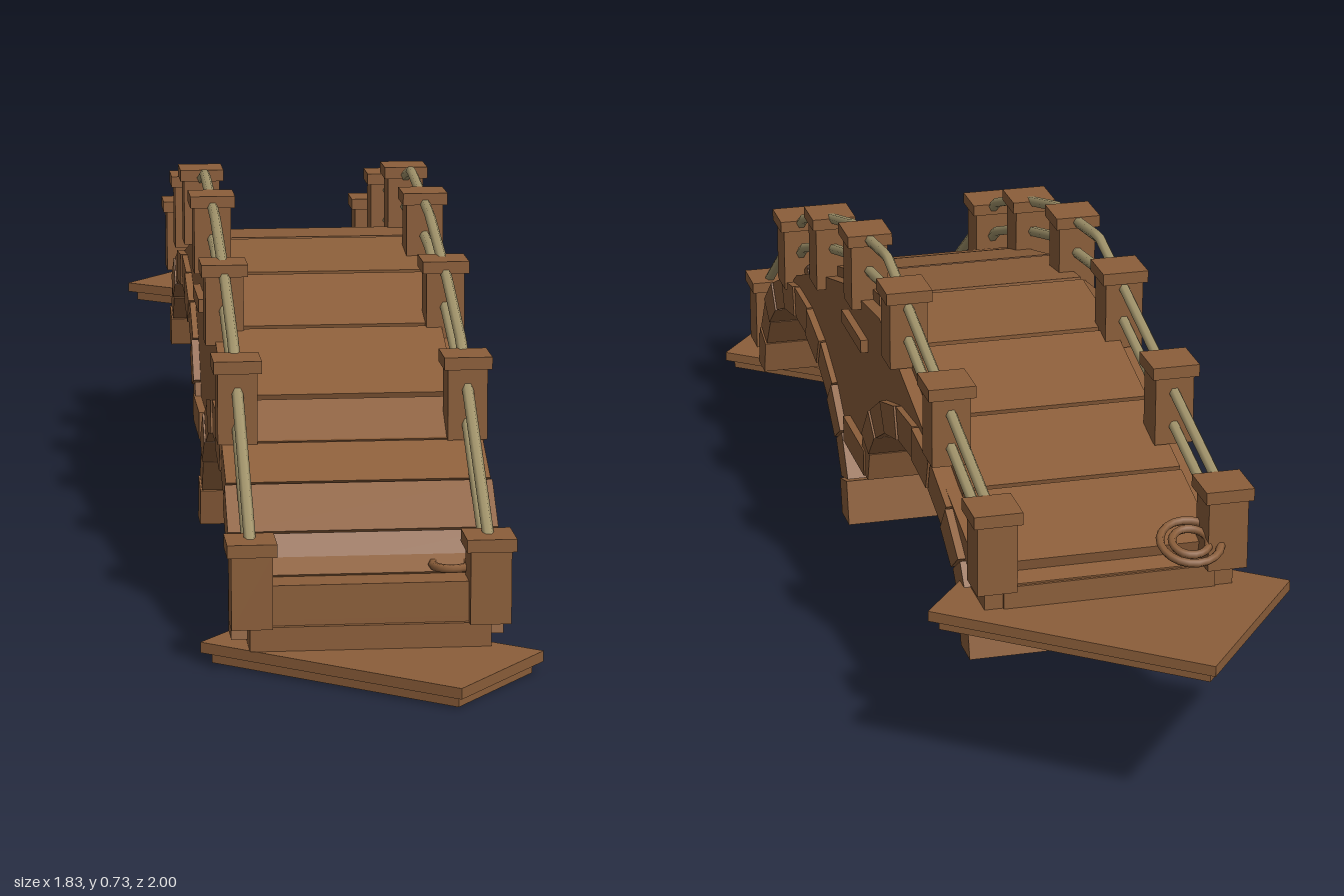
import * as THREE from 'three';

export function createModel() {
  const model = new THREE.Group();
  const wood = new THREE.MeshStandardMaterial({ color: 0x8b5e3a });
  wood.name = 'brown wood';
  const railMat = new THREE.MeshStandardMaterial({ color: 0xa3956c });
  railMat.name = 'pale olive rail';

  // The span runs along local x and is turned diagonally on the ground
  const span = new THREE.Group();
  span.name = 'span';
  span.rotation.y = -0.904;
  model.add(span);

  const add = (parent, geo, mat, name, x = 0, y = 0, z = 0) => {
    const m = new THREE.Mesh(geo, mat);
    m.name = name;
    m.position.set(x, y, z);
    parent.add(m);
    return m;
  };
  const box = (parent, name, w, h, d, x, y, z) =>
    add(parent, new THREE.BoxGeometry(w, h, d), wood, name, x, y, z);
  const slab = (points, halfWidth, name) => {
    const geo = new THREE.ExtrudeGeometry(new THREE.Shape(points),
      { depth: halfWidth * 2, bevelEnabled: false });
    geo.translate(0, 0, -halfWidth);
    return add(span, geo, wood, name);
  };
  const V2 = (x, y) => new THREE.Vector2(x, y);

  // Kinked line of the handrail; the deck and body top follow it lower down
  const railLine = [[-1.02, 0.53], [-0.6, 0.635], [-0.2, 0.735], [0.12, 0.692],
    [0.4, 0.612], [0.61, 0.532], [1.02, 0.24]];
  const deckDrop = 0.125;
  const deckY = (x) => {
    let i = 0;
    while (i < railLine.length - 2 && x > railLine[i + 1][0]) i++;
    const [x0, y0] = railLine[i], [x1, y1] = railLine[i + 1];
    return y0 + (y1 - y0) * (x - x0) / (x1 - x0) - deckDrop;
  };

  // Arches: elliptical rings of wedge stones
  const arches = [
    { x: -0.525, y: 0.222, a: 0.457, b: 0.277, n: 10 },
    { x: 0.51, y: 0.047, a: 0.474, b: 0.337, n: 11 },
  ];
  const onArch = (k, angle, inset) =>
    V2(k.x - Math.cos(angle) * (k.a - inset), k.y + Math.sin(angle) * (k.b - inset));
  for (const k of arches) {
    for (let i = 0; i < k.n; i++) {
      const t0 = (i + 0.02) / k.n * Math.PI;
      const t1 = (i + 0.98) / k.n * Math.PI;
      slab([onArch(k, t0, 0), onArch(k, t1, 0), onArch(k, t1, 0.066), onArch(k, t0, 0.066)],
        0.25 - (i % 2) * 0.003, 'archStone');
    }
  }

  // Solid body between the arches and the deck
  const outline = [V2(-1.03, 0.345)];
  const ranges = [[0.48, 2.98], [0.55, 3.03]];
  arches.forEach((k, j) => {
    const [from, to] = ranges[j];
    for (let i = 0; i <= 16; i++) outline.push(onArch(k, from + (to - from) * i / 16, 0.03));
  });
  outline.push(V2(1.03, 0.085), V2(1.03, deckY(1.03) - 0.012));
  for (const [x, y] of railLine.slice(1, -1).reverse()) outline.push(V2(x, y - deckDrop - 0.012));
  outline.push(V2(-1.03, deckY(-1.03) - 0.012));
  slab(outline, 0.235, 'body');

  // Springer block between the arches and a small plaque on each side
  box(span, 'springerBlock', 0.19, 0.055, 0.5, -0.015, 0.25, 0);
  for (const s of [-1, 1]) box(span, 'sidePlaque', 0.18, 0.027, 0.02, -0.005, 0.499, s * 0.24);

  // Deck planks, and a flat sill at the low end
  const joints = [-1.0, -0.78, -0.56, -0.33, -0.1, 0.13, 0.36, 0.6, 0.833, 0.965];
  for (let i = 0; i < joints.length - 1; i++) {
    const x0 = joints[i], x1 = joints[i + 1];
    const y0 = deckY(x0), y1 = deckY(x1);
    const p = box(span, 'deckPlank', Math.hypot(x1 - x0, y1 - y0) - 0.01, 0.03, 0.42,
      (x0 + x1) / 2, (y0 + y1) / 2 - 0.005, 0);
    p.rotation.z = Math.atan2(y1 - y0, x1 - x0);
  }
  box(span, 'deckSill', 0.07, 0.075, 0.42, 0.995, 0.123, 0);

  // End beams under the last posts
  box(span, 'endBeam', 0.08, 0.045, 0.44, 1.0, 0.063, 0);
  box(span, 'endBeam', 0.07, 0.045, 0.4, -1.0, 0.365, 0);

  // Posts with caps, and two rails on each side
  const postTops = [0.545, 0.655, 0.72, 0.717, 0.635, 0.512, 0.245];
  for (const s of [-1, 1]) {
    const z = s * 0.217;
    postTops.forEach((top, i) => {
      const x = (i - 3) * 0.339;
      box(span, 'post', 0.075, 0.14, 0.075, x, top - 0.09, z);
      box(span, 'postCap', 0.091, 0.024, 0.091, x, top - 0.012, z);
    });
    for (const [name, drop] of [['upperRail', 0.008], ['lowerRail', 0.075]]) {
      const path = new THREE.CurvePath();
      const pts = railLine.map(([x, y]) => new THREE.Vector3(x, y - drop, z));
      for (let i = 0; i < pts.length - 1; i++) path.add(new THREE.LineCurve3(pts[i], pts[i + 1]));
      add(span, new THREE.TubeGeometry(path, 60, 0.011, 6), railMat, name);
    }
  }

  // Coiled rings lying by one post at each end
  const coil = (radius, x, y, z, tilt) => {
    const geo = new THREE.TorusGeometry(radius, 0.008, 6, 20);
    geo.rotateX(Math.PI / 2);
    add(span, geo, wood, 'coil', x, y, z).rotation.z = tilt;
  };
  coil(0.056, -1.036, 0.44, 0.151, 0.35);
  coil(0.034, -1.036, 0.44, 0.151, 0.35);
  coil(0.034, 0.96, 0.175, -0.155, 0);

  // Two-layer landing slabs at both ends, square to the ground axes
  const landing = (x, y, z, w, d) => {
    box(model, 'landingTop', w, 0.02, d, x, y + 0.03, z);
    box(model, 'landingBase', w - 0.03, 0.02, d - 0.03, x, y + 0.01, z);
  };
  landing(0.633, 0, 0.8, 0.555, 0.29);
  landing(-0.638, 0.305, -0.805, 0.555, 0.39);

  return model;
}
